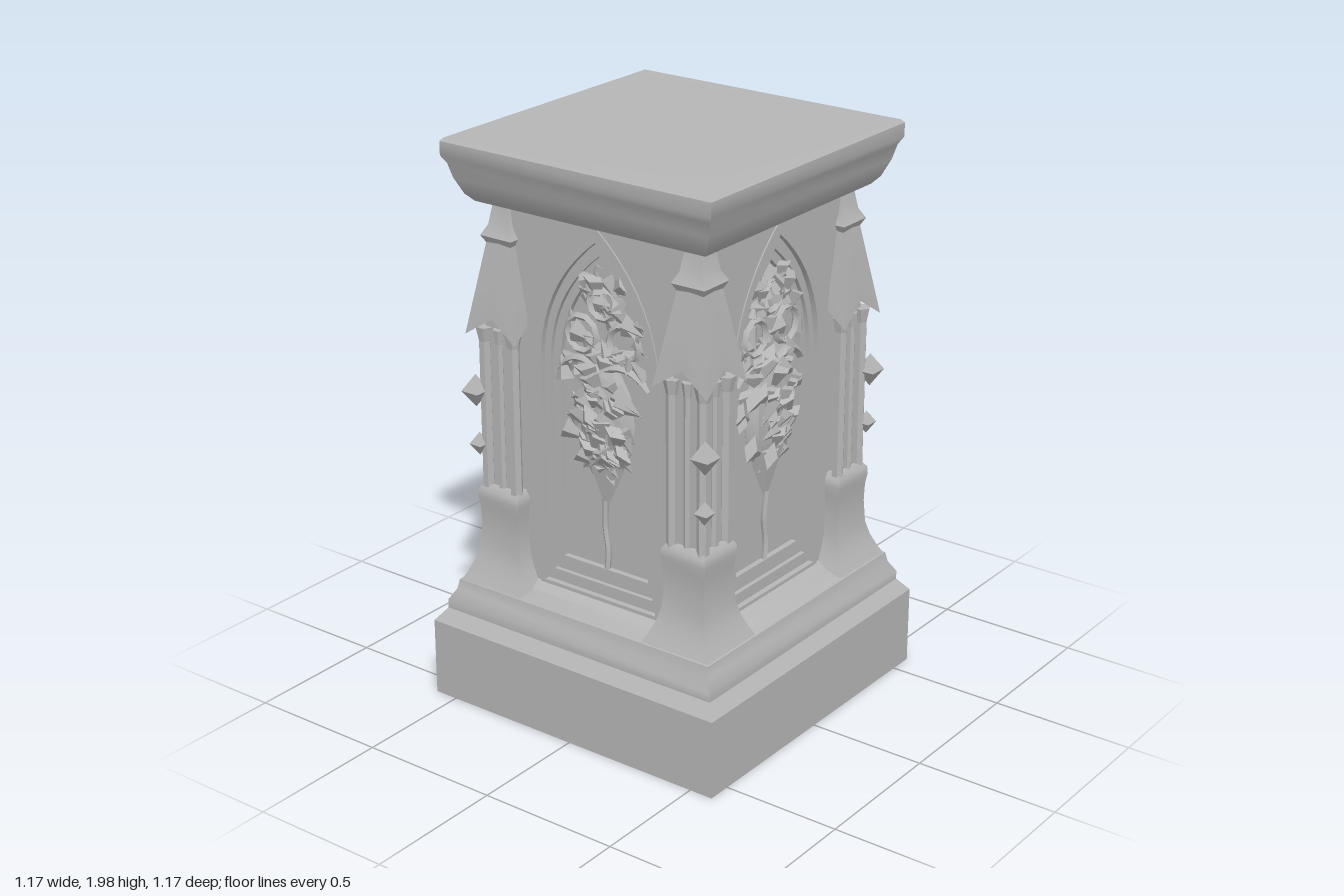
import * as THREE from 'three';
import { toCreasedNormals } from 'three/addons/utils/BufferGeometryUtils.js';

const stone = new THREE.MeshStandardMaterial({ color: 0xb6b6b6 });
stone.name = 'grey stone';

function add(parent, name, geometry, x = 0, y = 0, z = 0) {
  const mesh = new THREE.Mesh(toCreasedNormals(geometry, 0.6), stone);
  mesh.name = name;
  mesh.position.set(x, y, z);
  parent.add(mesh);
  return mesh;
}

// Square moulding from [half width, height] pairs, bottom to top
function squareLathe(profile) {
  const points = profile.map(([r, y]) => new THREE.Vector2(r * Math.SQRT2, y));
  return new THREE.LatheGeometry(points, 4, Math.PI / 4);
}

// Pointed arch outline
function arch(path, w, bottom, apex) {
  const spring = 1.25, bend = spring + 0.6 * (apex - spring);
  path.moveTo(-w, bottom);
  path.lineTo(w, bottom);
  path.lineTo(w, spring);
  path.quadraticCurveTo(w, bend, 0, apex);
  path.quadraticCurveTo(-w, bend, -w, spring);
  path.lineTo(-w, bottom);
  return path;
}

function extrude(shape, depth) {
  return new THREE.ExtrudeGeometry(shape, { depth, bevelEnabled: false, curveSegments: 10 });
}

// Arch-shaped frame: outer and inner are [half width, bottom, apex]
function archRing(outer, inner, depth) {
  const shape = arch(new THREE.Shape(), ...outer);
  shape.holes.push(arch(new THREE.Path(), ...inner));
  return extrude(shape, depth);
}

function seeded(seed) {
  return () => (seed = (seed * 16807) % 2147483647) / 2147483647;
}

// Curled leaf: a flattened four-sided cone, tipped outwards
function addLeaf(parent, x, y, z, size, roll, tilt) {
  const leaf = add(parent, 'carvedLeaf', new THREE.ConeGeometry(size * 0.45, size, 4), x, y, z);
  leaf.scale.z = 0.5;
  leaf.rotation.set(tilt, 0, roll, 'ZXY');
}

function createFace(seed) {
  const face = new THREE.Group();
  const random = seeded(seed);

  // Wall with nested pointed mouldings
  const wall = new THREE.Shape([[-0.4, 0.45], [0.4, 0.45], [0.4, 1.78], [-0.4, 1.78]]
    .map(([x, y]) => new THREE.Vector2(x, y)));
  wall.holes.push(arch(new THREE.Path(), 0.235, 0.48, 1.71));
  add(face, 'wall', extrude(wall, 0.06), 0, 0, 0.35);
  add(face, 'hoodMoulding', archRing([0.25, 0.46, 1.76], [0.23, 0.48, 1.71], 0.065), 0, 0, 0.35);
  add(face, 'outerMoulding', archRing([0.24, 0.47, 1.72], [0.205, 0.52, 1.66], 0.045), 0, 0, 0.35);
  add(face, 'innerMoulding', archRing([0.205, 0.51, 1.66], [0.175, 0.57, 1.62], 0.03), 0, 0, 0.35);

  // Tracery: roundels, ribs and leaves filling the arch head
  for (const [x, y, r] of [[0, 1.5, 0.055], [-0.085, 1.38, 0.06], [0.085, 1.38, 0.06]]) {
    add(face, 'traceryRoundel', new THREE.TorusGeometry(r, 0.013, 4, 10), x, y, 0.38);
  }
  for (const side of [-1, 1]) {
    const rib = new THREE.QuadraticBezierCurve3(
      new THREE.Vector3(side * 0.18, 1.24, 0.375),
      new THREE.Vector3(side * 0.1, 1.34, 0.39),
      new THREE.Vector3(0, 1.27, 0.39));
    add(face, 'traceryRib', new THREE.TubeGeometry(rib, 8, 0.014, 4), 0, 0, 0);
  }
  for (let i = 0; i < 40; i++) {
    const y = 1.25 + random() * 0.33;
    const reach = 0.17 * Math.min(1, (1.65 - y) / 0.25);
    addLeaf(face, (random() * 2 - 1) * reach, y, 0.37 + random() * 0.02,
      0.06 + random() * 0.04, random() * 6.28, random() * 0.6 - 0.3);
  }

  // Hanging foliage with its tip and stalk
  const core = add(face, 'foliageCore', new THREE.SphereGeometry(1, 8, 6), 0, 1.1, 0.365);
  core.scale.set(0.115, 0.2, 0.045);
  const tip = add(face, 'foliageTip', new THREE.ConeGeometry(0.09, 0.2, 5), 0, 0.88, 0.37);
  tip.rotation.x = Math.PI;
  tip.scale.z = 0.5;
  for (let i = 0; i < 52; i++) {
    const v = random() * 2 - 1, u = random() * 2 - 1;
    const width = Math.sqrt(1 - v * v);
    addLeaf(face, u * width * 0.13, 1.1 + v * 0.2, 0.365 + 0.045 * width * Math.sqrt(1 - u * u),
      0.06 + random() * 0.05, Math.PI + (random() - 0.5) * 2.4, -random() * 0.5);
  }
  const stalk = new THREE.CatmullRomCurve3([[0, 0.82, 0.375], [-0.006, 0.72, 0.37], [0.006, 0.64, 0.37], [0, 0.56, 0.37]]
    .map(p => new THREE.Vector3(...p)));
  add(face, 'stalk', new THREE.TubeGeometry(stalk, 8, 0.011, 5));
  return face;
}

// Spire roof with a gablet on each side and kite-shaped slopes over the corners
function helmRoof() {
  const left = [-0.105, 1.32, 0.105], right = [0.105, 1.32, 0.105];
  const peak = [0, 1.47, 0.085], notch = [0, 1.39, 0.093];
  const tip = [0, 1.92, 0], ceiling = [0, 1.44, 0];
  const side = [left, notch, peak, notch, right, peak, right, tip, peak, peak, tip, left,
    left, ceiling, notch, notch, ceiling, right];
  const positions = [];
  for (let i = 0; i < 4; i++) {
    const c = Math.round(Math.cos(i * Math.PI / 2)), s = Math.round(Math.sin(i * Math.PI / 2));
    for (const [x, y, z] of side) positions.push(x * c + z * s, y, z * c - x * s);
  }
  const geometry = new THREE.BufferGeometry();
  geometry.setAttribute('position', new THREE.Float32BufferAttribute(positions, 3));
  return geometry;
}

function createPier() {
  const pier = new THREE.Group();

  // Flared foot
  add(pier, 'pierFoot', squareLathe([[0.14, 0.42], [0.117, 0.465], [0.098, 0.51], [0.085, 0.56],
    [0.08, 0.64], [0.082, 0.7], [0.088, 0.74], [0.086, 0.765], [0.072, 0.785], [0, 0.785]]));

  // Shaft with clustered colonnettes
  add(pier, 'pierShaft', new THREE.BoxGeometry(0.115, 0.66, 0.115), 0, 1.09, 0);
  for (const x of [-1, 0, 1]) {
    for (const z of [-1, 0, 1]) {
      if (!x && !z) continue;
      const r = x && z ? 0.021 : 0.014;
      add(pier, 'colonnette', new THREE.CylinderGeometry(r, r, 0.58, 6), x * 0.06, 1.05, z * 0.06);
      add(pier, 'capital', new THREE.CylinderGeometry(r * 1.5, r, 0.05, 6), x * 0.06, 1.32, z * 0.06);
    }
  }

  // Gabled spire, finial and crockets
  add(pier, 'gabledSpire', helmRoof());
  add(pier, 'finial', squareLathe([[0.045, 1.62], [0.064, 1.655], [0.045, 1.69], [0.03, 1.78]]));
  for (const [d, y, s] of [[0.085, 1.12, 0.048], [0.08, 0.93, 0.034]]) {
    const crocket = add(pier, 'crocket', new THREE.OctahedronGeometry(s), d, y, d);
    crocket.scale.y = 1.2;
    crocket.rotation.y = Math.PI / 4;
  }
  return pier;
}

export function createModel() {
  const model = new THREE.Group();
  model.name = 'pedestal';

  // Stepped base
  add(model, 'base', squareLathe([[0, 0.01], [0.585, 0.01], [0.585, 0.285], [0.55, 0.33], [0.55, 0.36],
    [0.527, 0.4], [0.52, 0.435], [0.45, 0.45], [0.4, 0.475], [0, 0.475]]));
  add(model, 'core', new THREE.BoxGeometry(0.72, 1.34, 0.72), 0, 1.11, 0);

  // Four niches and four corner piers
  for (let i = 0; i < 4; i++) {
    const face = createFace(101 + i * 577);
    face.name = 'niche';
    face.rotation.y = i * Math.PI / 2;
    model.add(face);

    const corner = new THREE.Group();
    corner.name = 'cornerPier';
    corner.rotation.y = i * Math.PI / 2;
    const pier = createPier();
    pier.name = 'pier';
    pier.position.set(0.382, 0, 0.382);
    corner.add(pier);
    model.add(corner);
  }

  // Overhanging cap slab
  add(model, 'cap', squareLathe([[0, 1.77], [0.455, 1.77], [0.478, 1.795], [0.502, 1.85], [0.515, 1.9],
    [0.53, 1.925], [0.53, 1.972], [0.52, 1.983], [0.432, 1.985], [0.43, 1.982], [0, 1.982]]));
  return model;
}
